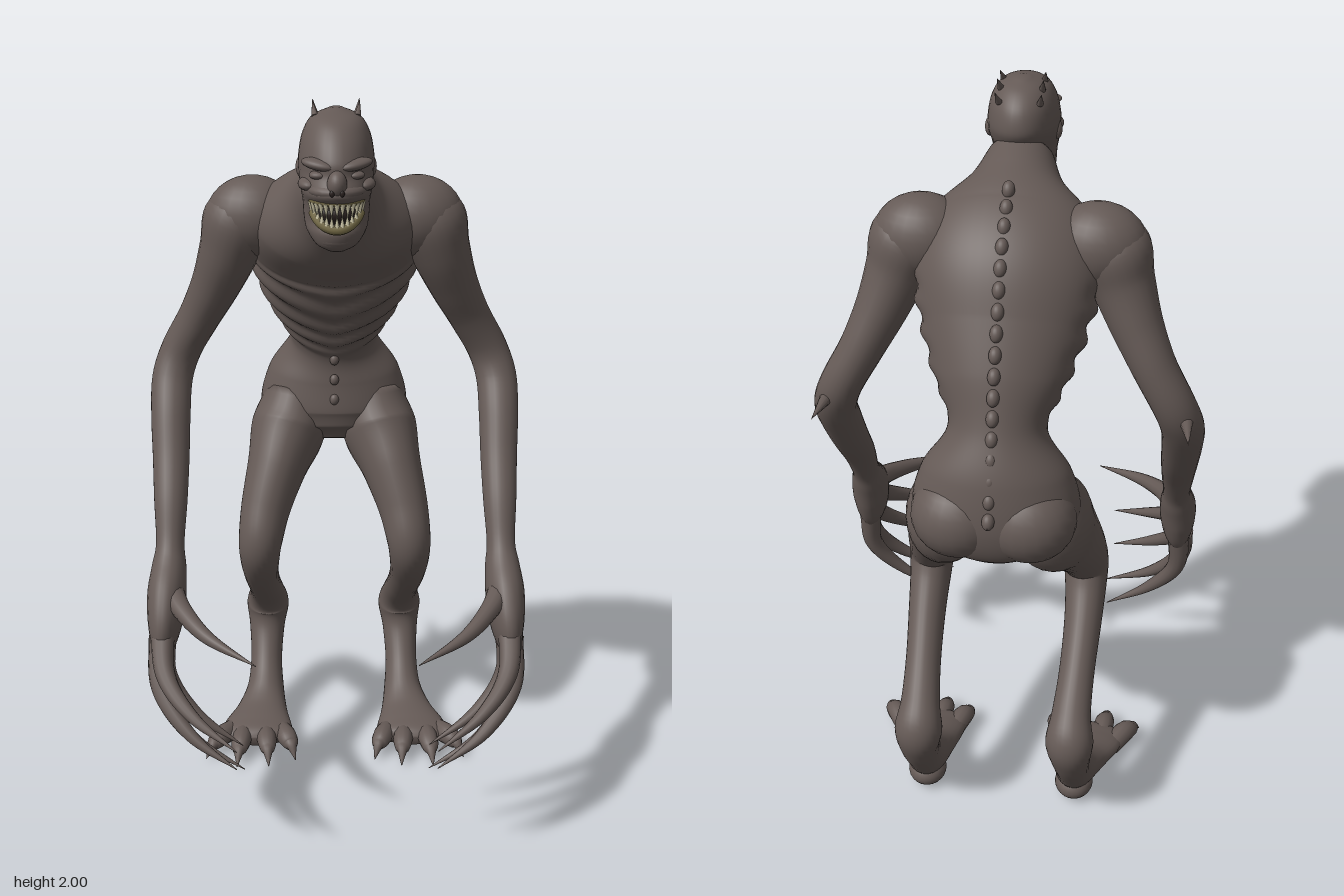
import * as THREE from 'three';

const skin = new THREE.MeshStandardMaterial({ color: 0x655a56 });
skin.name = 'grey brown skin';
const toothMat = new THREE.MeshStandardMaterial({ color: 0xc9c2a4 });
toothMat.name = 'ivory teeth';
const gumMat = new THREE.MeshStandardMaterial({ color: 0x726844 });
gumMat.name = 'olive gums';
const darkMat = new THREE.MeshStandardMaterial({ color: 0x2b2220 });
darkMat.name = 'dark mouth';

const X = new THREE.Vector3(1, 0, 0);
const V = (p) => new THREE.Vector3(p[0], p[1], p[2]);

// Smooth skin over elliptical sections [x, y, z, half width, half depth]
function loft(name, pts, { side = 1, rings = 40, segs = 20, level = false, bump = null } = {}) {
  const path = new THREE.CatmullRomCurve3(pts.map((p) => new THREE.Vector3(p[0] * side, p[1], p[2])), false, 'catmullrom', 0.5);
  const size = new THREE.CatmullRomCurve3(pts.map((p) => new THREE.Vector3(p[3], p[4], 0)), false, 'catmullrom', 0.5);
  const pos = [], idx = [];
  for (let i = 0; i <= rings; i++) {
    const u = i / rings, c = path.getPoint(u), r = size.getPoint(u);
    const T = level ? new THREE.Vector3(0, -1, 0) : path.getTangent(u);
    const A = X.clone().addScaledVector(T, -T.x).normalize();
    const B = T.clone().cross(A);
    for (let j = 0; j < segs; j++) {
      const a = (j / segs) * Math.PI * 2;
      const k = bump ? bump(u * (pts.length - 1), a) : 1;
      const p = c.clone().addScaledVector(A, Math.cos(a) * r.x * k).addScaledVector(B, Math.sin(a) * r.y * k);
      pos.push(p.x, p.y, p.z);
    }
  }
  const first = pos.length / 3, n = rings * segs;
  pos.push(...path.getPoint(0).toArray(), ...path.getPoint(1).toArray());
  for (let j = 0; j < segs; j++) {
    const j2 = (j + 1) % segs;
    for (let i = 0; i < rings; i++) {
      const a = i * segs + j, b = i * segs + j2;
      idx.push(a, b, a + segs, b, b + segs, a + segs);
    }
    idx.push(first, j2, j, first + 1, n + j, n + j2);
  }
  const g = new THREE.BufferGeometry();
  g.setAttribute('position', new THREE.Float32BufferAttribute(pos, 3));
  g.setIndex(idx);
  g.computeVertexNormals();
  const m = new THREE.Mesh(g, skin);
  m.name = name;
  return m;
}

function blob(name, c, r, mat = skin) {
  const m = new THREE.Mesh(new THREE.SphereGeometry(1, 24, 16), mat);
  m.name = name;
  m.position.set(...c);
  m.scale.set(...r);
  return m;
}

// Cone with its base at one point and its tip at another
function spike(name, from, to, r, mat = skin) {
  const a = V(from), d = V(to).sub(a), len = d.length();
  const g = new THREE.ConeGeometry(r, len, 10).translate(0, len / 2, 0);
  const m = new THREE.Mesh(g, mat);
  m.name = name;
  m.position.copy(a);
  m.quaternion.setFromUnitVectors(new THREE.Vector3(0, 1, 0), d.normalize());
  return m;
}

function tube(name, pts, r, mat) {
  const m = new THREE.Mesh(new THREE.TubeGeometry(new THREE.CatmullRomCurve3(pts.map(V)), 24, r, 8), mat);
  m.name = name;
  return m;
}

function buildTorso() {
  const g = new THREE.Group();
  g.name = 'torso';
  // Ribs ripple the front and flanks, drooping towards the middle
  const ribs = (k, a) => {
    const span = THREE.MathUtils.smoothstep(k, 2.9, 3.5) * (1 - THREE.MathUtils.smoothstep(k, 5.4, 6));
    const front = THREE.MathUtils.smoothstep(Math.sin(a), -0.6, 0.1);
    return 1 + 0.04 * span * front * Math.sin((k + Math.abs(Math.cos(a)) * 0.45) * Math.PI * 2 * 1.75);
  };
  g.add(loft('neckChestAndPelvis', [
    [0, 1.785, 0.13, 0.085, 0.09], [0, 1.735, 0.05, 0.125, 0.122], [0, 1.675, -0.035, 0.215, 0.152],
    [0, 1.6, -0.13, 0.235, 0.162], [0, 1.485, -0.205, 0.212, 0.152], [0, 1.37, -0.28, 0.168, 0.135],
    [0, 1.265, -0.335, 0.125, 0.118], [0, 1.16, -0.365, 0.19, 0.138], [0, 1.05, -0.37, 0.215, 0.15],
    [0, 0.98, -0.355, 0.17, 0.13], [0, 0.94, -0.34, 0.07, 0.07],
  ], { rings: 150, segs: 56, bump: ribs }));
  // Knobbly spine
  const spine = new THREE.CatmullRomCurve3([
    [0, 1.805, -0.12], [0, 1.71, -0.245], [0, 1.56, -0.335], [0, 1.42, -0.405], [0, 1.27, -0.452], [0, 1.1, -0.52],
  ].map(V));
  for (let i = 0; i < 17; i++) {
    const p = spine.getPointAt(i / 16);
    const b = blob('vertebra', p.toArray(), [0.016, 0.022, 0.017]);
    b.rotation.x = 0.45;
    g.add(b);
  }
  g.add(spike('tailbone', [0, 1.11, -0.5], [0, 1.09, -0.54], 0.02));
  for (const y of [1.22, 1.16, 1.1]) g.add(blob('bellyKnob', [0, y, -0.225], [0.013, 0.016, 0.012]));
  for (const s of [1, -1]) {
    g.add(blob('shoulder', [s * 0.22, 1.662, -0.1], [0.125, 0.11, 0.1]));
    g.add(blob('buttock', [s * 0.09, 1.05, -0.42], [0.122, 0.115, 0.115]));
  }
  return g;
}

function buildHead() {
  const g = new THREE.Group();
  g.name = 'head';
  g.add(loft('skull', [
    [0, 1.987, 0.165, 0.015, 0.02], [0, 1.967, 0.18, 0.06, 0.085], [0, 1.93, 0.185, 0.083, 0.127],
    [0, 1.88, 0.195, 0.093, 0.15], [0, 1.845, 0.205, 0.093, 0.145], [0, 1.805, 0.232, 0.088, 0.14],
    [0, 1.775, 0.228, 0.083, 0.118], [0, 1.735, 0.235, 0.08, 0.092], [0, 1.705, 0.25, 0.073, 0.085],
    [0, 1.675, 0.28, 0.05, 0.045], [0, 1.66, 0.29, 0.02, 0.018],
  ], { level: true, rings: 60, segs: 36 }));
  g.add(blob('muzzle', [0, 1.812, 0.3], [0.072, 0.026, 0.072]));
  g.add(blob('nose', [0, 1.832, 0.35], [0.024, 0.032, 0.03]));
  g.add(blob('chin', [0, 1.69, 0.295], [0.048, 0.026, 0.036]));
  g.add(blob('mouthCavity', [0, 1.757, 0.285], [0.066, 0.035, 0.06], darkMat));
  // Gums and teeth follow the curve of the jaws
  const arc = (t, y, r, rise = 0) => [Math.sin(t) * r, y + rise * (1 - Math.cos(t)), 0.285 + Math.cos(t) * r];
  const angles = Array.from({ length: 13 }, (_, i) => -1.2 + i * 0.2);
  g.add(tube('upperGum', angles.map((t) => arc(t, 1.786, 0.064)), 0.009, gumMat));
  g.add(tube('lowerGum', angles.map((t) => arc(t, 1.721, 0.061, 0.06)), 0.012, gumMat));
  for (const t of angles) {
    g.add(spike('upperTooth', arc(t, 1.785, 0.067), arc(t, 1.75, 0.066), 0.0075, toothMat));
    g.add(spike('lowerTooth', arc(t, 1.728, 0.064, 0.055), arc(t, 1.758, 0.064, 0.03), 0.0065, toothMat));
  }
  for (const s of [1, -1]) {
    const brow = blob('brow', [s * 0.044, 1.874, 0.318], [0.045, 0.014, 0.026]);
    brow.rotation.set(0, s * 0.45, s * 0.15);
    g.add(brow, blob('eyelid', [s * 0.043, 1.849, 0.318], [0.024, 0.011, 0.022]));
    g.add(blob('cheekbone', [s * 0.066, 1.822, 0.28], [0.028, 0.017, 0.045]));
    g.add(blob('nostril', [s * 0.012, 1.814, 0.372], [0.006, 0.008, 0.004], darkMat));
    g.add(blob('ear', [s * 0.088, 1.845, 0.18], [0.012, 0.025, 0.018]));
    // Short bristles swept back over the crown
    for (const [z, y] of [[0.09, 1.945], [0.135, 1.965], [0.19, 1.968]])
      g.add(spike('crownSpike', [s * 0.052, y, z], [s * 0.058, y + 0.035, z - 0.03], 0.009));
  }
  return g;
}

function buildArm(side) {
  const g = new THREE.Group();
  g.name = side > 0 ? 'leftArm' : 'rightArm';
  g.add(loft('armAndPalm', [
    [0.225, 1.74, -0.1, 0.05, 0.05], [0.255, 1.66, -0.1, 0.095, 0.095], [0.285, 1.57, -0.11, 0.082, 0.09],
    [0.325, 1.47, -0.14, 0.068, 0.078], [0.375, 1.37, -0.172, 0.058, 0.066], [0.43, 1.27, -0.185, 0.056, 0.058],
    [0.457, 1.19, -0.16, 0.057, 0.054], [0.46, 1.1, -0.1, 0.055, 0.055], [0.457, 1.0, -0.032, 0.051, 0.05],
    [0.455, 0.9, 0.045, 0.046, 0.045], [0.455, 0.8, 0.107, 0.039, 0.041], [0.457, 0.745, 0.14, 0.047, 0.055],
    [0.462, 0.68, 0.185, 0.053, 0.08], [0.466, 0.61, 0.225, 0.046, 0.088], [0.47, 0.555, 0.25, 0.03, 0.068],
    [0.47, 0.535, 0.26, 0.012, 0.03],
  ], { side, rings: 90, segs: 24 }));
  g.add(spike('elbowSpike', [side * 0.465, 1.235, -0.2], [side * 0.475, 1.25, -0.345], 0.02));
  // Long hooked claws: base, knuckle, bend, tip
  const fingers = {
    thumb: [[0.45, 0.7, 0.19], [0.41, 0.675, 0.28], [0.335, 0.645, 0.38], [0.21, 0.615, 0.475]],
    indexFinger: [[0.47, 0.62, 0.25], [0.455, 0.53, 0.365], [0.38, 0.46, 0.46], [0.26, 0.4, 0.54]],
    middleFinger: [[0.475, 0.59, 0.25], [0.472, 0.475, 0.335], [0.39, 0.38, 0.42], [0.265, 0.31, 0.48]],
    ringFinger: [[0.48, 0.57, 0.23], [0.478, 0.44, 0.28], [0.395, 0.325, 0.335], [0.25, 0.245, 0.375]],
    littleFinger: [[0.47, 0.58, 0.19], [0.467, 0.45, 0.208], [0.39, 0.34, 0.235], [0.26, 0.245, 0.255]],
  };
  const radii = [0.033, 0.026, 0.017, 0.001];
  for (const [name, pts] of Object.entries(fingers))
    g.add(loft(name, pts.map((p, i) => [...p, radii[i], radii[i]]), { side, rings: 24, segs: 12 }));
  return g;
}

function buildLeg(side) {
  const g = new THREE.Group();
  g.name = side > 0 ? 'leftLeg' : 'rightLeg';
  g.add(loft('legAndFoot', [
    [0.11, 1.08, -0.36, 0.09, 0.11], [0.135, 0.98, -0.32, 0.11, 0.135], [0.168, 0.89, -0.245, 0.088, 0.112],
    [0.2, 0.79, -0.175, 0.073, 0.085], [0.216, 0.705, -0.13, 0.064, 0.07], [0.22, 0.64, -0.15, 0.058, 0.068],
    [0.22, 0.56, -0.225, 0.052, 0.064], [0.215, 0.47, -0.33, 0.049, 0.056], [0.21, 0.395, -0.42, 0.054, 0.054],
    [0.21, 0.335, -0.462, 0.066, 0.064], [0.213, 0.26, -0.448, 0.055, 0.055], [0.215, 0.17, -0.39, 0.049, 0.054],
    [0.217, 0.1, -0.325, 0.058, 0.06], [0.225, 0.066, -0.25, 0.078, 0.05], [0.235, 0.053, -0.17, 0.105, 0.04],
    [0.24, 0.048, -0.12, 0.1, 0.032], [0.24, 0.042, -0.095, 0.05, 0.015],
  ], { side, rings: 110, segs: 28 }));
  g.add(blob('heel', [side * 0.216, 0.05, -0.33], [0.055, 0.045, 0.06]));
  // Splayed toes ending in hooked claws
  const toes = [[0.17, 0.12, -0.04], [0.215, 0.2, -0.005], [0.275, 0.295, -0.002], [0.31, 0.39, -0.05]];
  for (const [base, tip, z] of toes) {
    const at = (t) => base + (tip - base) * t;
    const start = -0.17;
    const along = (t) => start + (z - start) * t;
    g.add(loft('toe', [
      [at(0), 0.045, along(0), 0.03, 0.03], [at(0.45), 0.052, along(0.45), 0.03, 0.031],
      [at(0.7), 0.045, along(0.68), 0.024, 0.023], [at(0.8), 0.04, along(0.8), 0.014, 0.014],
      [at(1), 0.012, along(1), 0.001, 0.001],
    ], { side, rings: 24, segs: 12 }));
  }
  return g;
}

export function createModel() {
  const model = new THREE.Group();
  model.name = 'gauntCreature';
  model.add(buildTorso(), buildHead());
  for (const side of [1, -1]) model.add(buildArm(side), buildLeg(side));
  return model;
}
